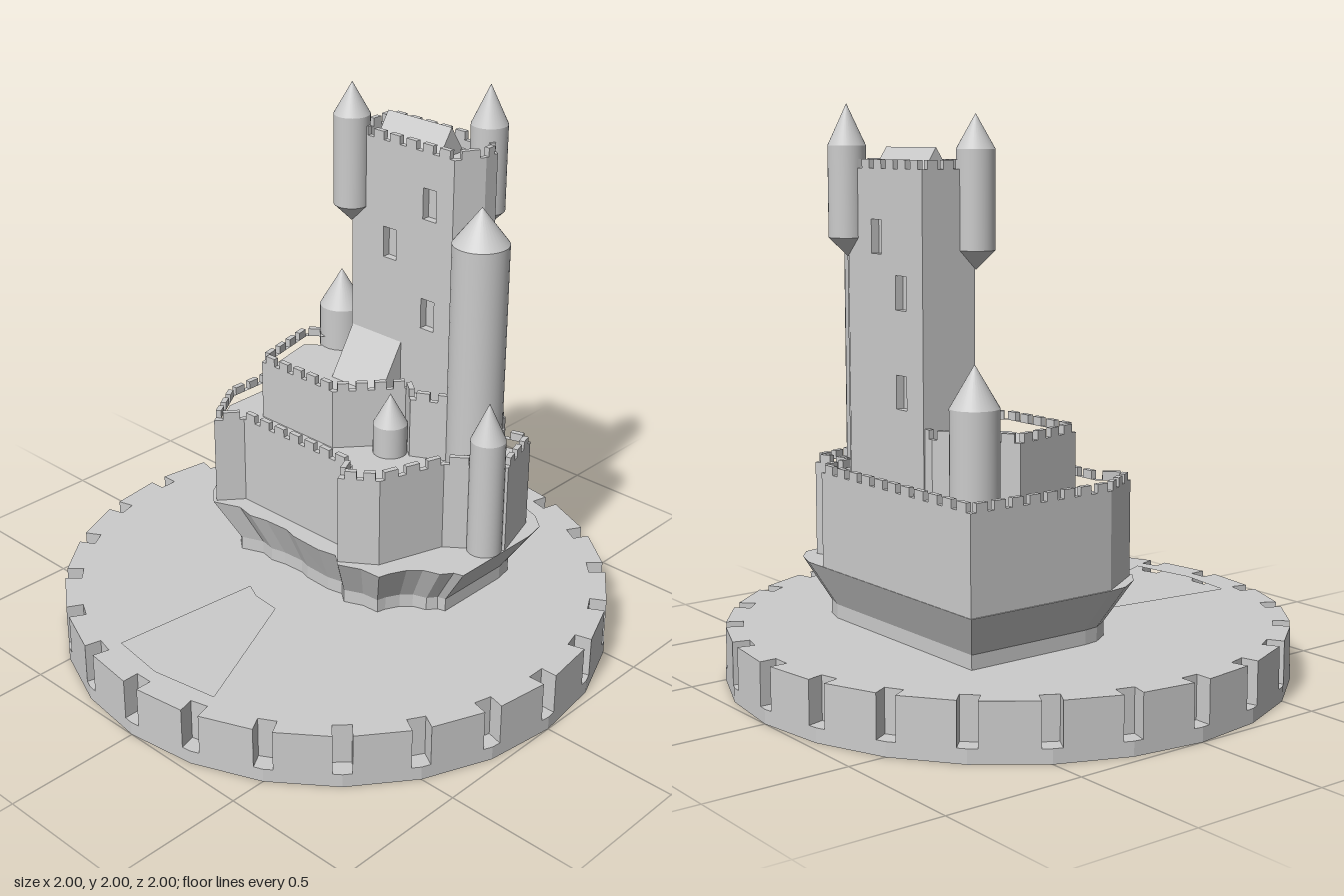
import * as THREE from 'three';

const smooth = new THREE.MeshStandardMaterial({ color: 0xcccccc });
const flat = new THREE.MeshStandardMaterial({ color: 0xcccccc, flatShading: true });

function add(parent, name, geometry, material = flat) {
  const mesh = new THREE.Mesh(geometry, material);
  mesh.name = name;
  parent.add(mesh);
  return mesh;
}

// Upright prism over a plan outline of [x, z] points, with optional holes
function prism(plan, y0, y1, holes = []) {
  const flip = (pts) => pts.map(([x, z]) => new THREE.Vector2(x, -z));
  const shape = new THREE.Shape(flip(plan));
  holes.forEach((h) => shape.holes.push(new THREE.Path(flip(h))));
  return new THREE.ExtrudeGeometry(shape, { depth: y1 - y0, bevelEnabled: false })
    .rotateX(-Math.PI / 2).translate(0, y0, 0);
}

// Outline moved inward by t with mitred corners
function inset(plan, t) {
  const n = plan.length;
  const area = THREE.ShapeUtils.area(plan.map(([x, z]) => new THREE.Vector2(x, z)));
  const s = Math.sign(area);
  const normal = (a, b) => new THREE.Vector2(-(b[1] - a[1]) * s, (b[0] - a[0]) * s).normalize();
  return plan.map((p, i) => {
    const n1 = normal(plan[(i + n - 1) % n], p);
    const n2 = normal(p, plan[(i + 1) % n]);
    const k = t / (1 + n1.dot(n2));
    return [p[0] + (n1.x + n2.x) * k, p[1] + (n1.y + n2.y) * k];
  });
}

// Parapet wall with merlons along every edge of the plan
function parapet(parent, name, plan, floor, top) {
  const t = 0.02, tooth = 0.03;
  const group = new THREE.Group();
  group.name = name;
  parent.add(group);
  add(group, 'parapetWall', prism(plan, floor, top - tooth, [inset(plan, t)]));
  const middle = inset(plan, t / 2);
  middle.forEach((a, i) => {
    const b = middle[(i + 1) % middle.length];
    const dx = b[0] - a[0], dz = b[1] - a[1];
    const length = Math.hypot(dx, dz);
    const count = Math.max(1, Math.round(length / 0.075));
    for (let k = 0; k < count; k++) {
      const f = (k + 0.5) / count;
      const m = add(group, 'merlon', new THREE.BoxGeometry(length / count * 0.62, tooth, t));
      m.position.set(a[0] + dx * f, top - tooth / 2, a[1] + dz * f);
      m.rotation.y = -Math.atan2(dz, dx);
    }
  });
}

// Round tower with a cone roof; a tail above 0 hangs it on a pointed corbel
function tower(parent, name, x, z, r, y0, eave, tip, tail = 0) {
  const group = new THREE.Group();
  group.name = name;
  group.position.set(x, 0, z);
  parent.add(group);
  add(group, 'shaft', new THREE.CylinderGeometry(r, r, eave - y0, 32, 1, tail > 0), smooth)
    .position.y = (y0 + eave) / 2;
  add(group, 'coneRoof', new THREE.ConeGeometry(r, tip - eave, 32), smooth)
    .position.y = (eave + tip) / 2;
  if (tail > 0) {
    const corbel = add(group, 'corbel', new THREE.ConeGeometry(r, tail, 32), smooth);
    corbel.rotation.x = Math.PI;
    corbel.position.y = y0 - tail / 2;
  }
}

// Gable roof with its ridge along x
function gable(parent, name, x0, x1, z, half, y0, ridge) {
  const tri = new THREE.Shape([
    new THREE.Vector2(-half, 0), new THREE.Vector2(half, 0), new THREE.Vector2(0, ridge - y0)]);
  const geo = new THREE.ExtrudeGeometry(tri, { depth: x1 - x0, bevelEnabled: false });
  add(parent, name, geo.rotateY(Math.PI / 2).translate(x0, y0, z));
}

// Wall panel with rectangular window openings
function windowPanel(parent, name, x0, x1, y0, y1, z, thickness, windows) {
  const rect = (a, b, c, d) => [[a, c], [b, c], [b, d], [a, d]].map((p) => new THREE.Vector2(...p));
  const shape = new THREE.Shape(rect(x0, x1, y0, y1));
  windows.forEach(([x, y]) =>
    shape.holes.push(new THREE.Path(rect(x - 0.03, x + 0.03, y - 0.057, y + 0.057))));
  add(parent, name, new THREE.ExtrudeGeometry(shape, { depth: thickness, bevelEnabled: false })
    .translate(0, 0, z));
}

export function createModel() {
  const model = new THREE.Group();
  model.name = 'castle';

  // Round base with a notch at each of its 24 corners and a sunken panel
  add(model, 'baseSlab', new THREE.CylinderGeometry(1, 1, 0.05, 24)).position.y = 0.025;
  const rim = [];
  for (let i = 0; i < 24; i++) {
    const c = Math.cos(i * Math.PI / 12), s = Math.sin(i * Math.PI / 12);
    for (const [r, w] of [[0.9957, -0.033], [0.935, -0.033], [0.935, 0.033], [0.9957, 0.033]])
      rim.push([r * c - w * s, r * s + w * c]);
  }
  const recess = [[-0.15, 0.295], [-0.09, 0.325], [0.02, 0.335], [0.25, 0.845], [0, 0.885], [-0.21, 0.855]];
  add(model, 'notchedRim', prism(rim, 0.05, 0.17));
  add(model, 'baseTop', prism(rim, 0.17, 0.2, [recess]));

  // Rock that flares outward under the walls
  const rock = [
    [-0.56, -0.58], [0.4, -0.58], [0.49, -0.55], [0.55, -0.5], [0.565, -0.42], [0.565, -0.05],
    [0.53, -0.04], [0.5, 0], [0.44, 0.02], [0.4, 0.06], [0.37, 0.12], [0.36, 0.16], [0.28, 0.165],
    [0.2, 0.2], [0.15, 0.16], [0.08, 0.175], [-0.05, 0.17], [-0.1, 0.155], [-0.2, 0.16],
    [-0.27, 0.175], [-0.34, 0.16], [-0.44, 0.2], [-0.5, 0.15], [-0.55, 0.07], [-0.56, 0]];
  const shrink = ([x, z]) => [x * 0.83, -0.18 + (z + 0.18) * 0.82];
  add(model, 'rockFoot', prism(rock.map(shrink), 0.2, 0.25));
  const flare = prism(rock, 0.25, 0.4);
  const pos = flare.attributes.position;
  for (let i = 0; i < pos.count; i++) {
    if (pos.getY(i) > 0.3) continue;
    const [x, z] = shrink([pos.getX(i), pos.getZ(i)]);
    pos.setXYZ(i, x, 0.25, z);
  }
  flare.computeVertexNormals();
  add(model, 'rockFlare', flare);

  // Lower and upper baileys
  const lower = [
    [-0.555, -0.578], [0.31, -0.578], [0.355, -0.445], [0.497, -0.487], [0.563, -0.28], [0.47, -0.21],
    [0.385, -0.145], [0.305, 0.1], [0.185, 0.185], [0.145, 0.1], [-0.37, 0.1], [-0.44, 0.185], [-0.555, 0]];
  add(model, 'lowerBailey', prism(lower, 0.4, 0.69));
  parapet(model, 'lowerParapet', lower, 0.69, 0.765);
  const upper = [
    [-0.465, -0.31], [-0.235, -0.495], [0.2, -0.495], [0.31, -0.38], [0.35, -0.25],
    [0.2, -0.17], [0.13, -0.225], [-0.04, -0.025], [-0.4, -0.025]];
  add(model, 'upperBailey', prism(upper, 0.66, 0.87));
  parapet(model, 'upperParapet', upper, 0.87, 0.945);

  // Keep: core with front and back panels that leave recessed windows
  const keepFloor = 1.755;
  const core = [
    [-0.195, -0.32], [0.25, -0.32], [0.25, -0.29], [0.27, -0.29], [0.325, -0.39], [0.325, -0.45],
    [0.24, -0.5], [0.22, -0.5], [0.22, -0.47], [-0.195, -0.47]];
  add(model, 'keepCore', prism(core, 0.66, keepFloor));
  windowPanel(model, 'keepFront', -0.195, 0.25, 0.66, keepFloor, -0.32, 0.03,
    [[0.165, 1.6], [-0.015, 1.412], [0.165, 1.19]]);
  windowPanel(model, 'keepBack', -0.195, 0.22, 0.66, keepFloor, -0.5, 0.03,
    [[0.07, 1.56], [-0.07, 1.38], [-0.07, 1.05]]);
  const keepTop = [[-0.195, -0.29], [0.27, -0.29], [0.325, -0.39], [0.325, -0.45], [0.24, -0.5], [-0.195, -0.5]];
  parapet(model, 'keepParapet', keepTop, keepFloor, 1.815);
  gable(model, 'keepRoof', -0.12, 0.17, -0.39, 0.065, keepFloor, 1.855);
  gable(model, 'leanToRoof', -0.192, 0.045, -0.295, 0.115, 0.87, 1.057);

  // Towers and hanging turrets
  tower(model, 'greatTower', 0.38, -0.31, 0.1, 0.66, 1.515, 1.645);
  tower(model, 'backTower', -0.38, -0.43, 0.083, 0.66, 1.03, 1.172);
  tower(model, 'gateTower', 0.125, -0.15, 0.062, 0.66, 0.805, 0.92);
  tower(model, 'sideTower', 0.503, -0.238, 0.063, 0.4, 0.84, 0.98);
  tower(model, 'frontTurret', -0.195, -0.285, 0.065, 1.52, 1.85, 1.965, 0.065);
  tower(model, 'backTurret', 0.245, -0.5, 0.065, 1.55, 1.86, 2, 0.065);
  return model;
}
